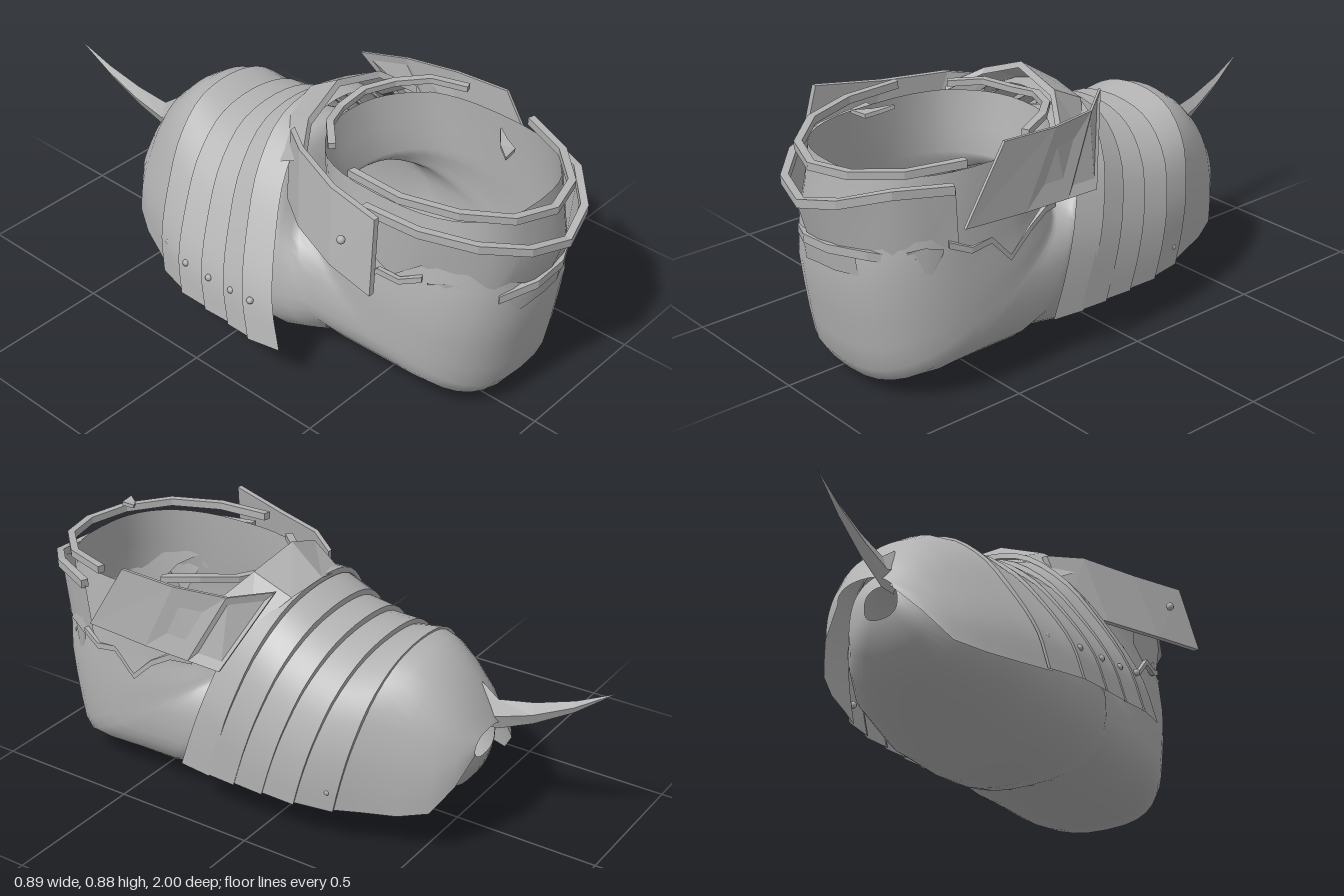
import * as THREE from 'three';

const steel = new THREE.MeshStandardMaterial({ color: 0xb2b2b2, side: THREE.DoubleSide });
steel.name = 'grey steel';

// Skin between rows of [x, y, z] points
function loft(rows, { closed = false, flat = false, cap = false } = {}) {
  const n = rows[0].length, idx = [], m = closed ? n : n - 1;
  for (let i = 0; i < rows.length - 1; i++) {
    for (let j = 0; j < m; j++) {
      const a = i * n + j, b = i * n + (j + 1) % n;
      idx.push(a, a + n, b, b, a + n, b + n);
    }
  }
  if (cap) {
    for (const s of [0, (rows.length - 1) * n]) {
      for (let j = 1; j < n - 1; j++) s ? idx.push(s, s + j + 1, s + j) : idx.push(s, s + j, s + j + 1);
    }
  }
  let g = new THREE.BufferGeometry();
  g.setAttribute('position', new THREE.Float32BufferAttribute(rows.flat(2), 3));
  g.setIndex(idx);
  if (flat) g = g.toNonIndexed();
  g.computeVertexNormals();
  return g;
}

// Point around the ankle; angle 0 is the heel
const around = (a, rx, rz, y) => [Math.min(0.44, 0.1 + rx * Math.sin(a)), y, 0.5 + rz * Math.cos(a)];

// Flat-sided strap following the ankle, heights listed evenly along the arc
function strap(a0, a1, rx, rz, heights, tall = 0.025, thick = 0.025) {
  const rows = heights.map((y, i) => {
    const a = a0 + (a1 - a0) * i / (heights.length - 1);
    return [
      around(a, rx, rz, y + tall / 2), around(a, rx - thick, rz - thick, y + tall / 2),
      around(a, rx - thick, rz - thick, y - tall / 2), around(a, rx, rz, y - tall / 2),
    ];
  });
  return loft(rows, { closed: true, flat: true, cap: true });
}

// Thin wall around the ankle between two lists of heights
function skirt(a0, a1, top, bottom, rTop, rBottom) {
  const n = top.length - 1;
  const row = (ys, r) => ys.map((y, i) => around(a0 + (a1 - a0) * i / n, r[0], r[1], y));
  return loft([row(top, rTop), row(bottom, rBottom)]);
}

// Arch profile of the foot plates: x and relative height
const arch = new THREE.CatmullRomCurve3([
  [-0.435, 0], [-0.41, 0.24], [-0.33, 0.52], [-0.22, 0.79], [-0.08, 0.96], [0.08, 1],
  [0.23, 0.95], [0.35, 0.78], [0.42, 0.48], [0.44, 0.22], [0.44, 0],
].map(([x, v]) => new THREE.Vector3(x, v, 0))).getPoints(32);

const archRow = (z, w, top, bottom, slant) => arch.map(p => [
  Math.min(0.44, p.x * w + 0.07 * (1 - w)), bottom + (top - bottom) * p.y, z + slant * (1 - p.y),
]);

export function createModel() {
  const model = new THREE.Group();
  const add = (name, geometry) => {
    const mesh = new THREE.Mesh(geometry, steel);
    mesh.name = name;
    model.add(mesh);
    return mesh;
  };

  // Hollow boot: rings that fan from the opening, round the heel, to the toe
  // instep z, y; heel or sole z, y; x range
  const rings = [
    [0.13, 0.74, 0.875, 0.74, -0.2, 0.4], [0.15, 0.62, 0.89, 0.62, -0.21, 0.41],
    [0.17, 0.53, 0.91, 0.5, -0.225, 0.415], [0.16, 0.51, 0.915, 0.38, -0.235, 0.42],
    [0.15, 0.5, 0.9, 0.27, -0.24, 0.425], [0.145, 0.5, 0.885, 0.17, -0.24, 0.425],
    [0.14, 0.5, 0.87, 0.09, -0.24, 0.425], [0.135, 0.5, 0.84, 0.045, -0.24, 0.425],
    [0.13, 0.5, 0.76, 0.035, -0.24, 0.425], [0.125, 0.51, 0.6, 0.035, -0.245, 0.42],
    [0.12, 0.52, 0.43, 0.035, -0.25, 0.42], [0.11, 0.54, 0.34, 0.055, -0.265, 0.415],
    [0.1, 0.58, 0.27, 0.03, -0.295, 0.41], [0.08, 0.63, 0.18, 0.008, -0.325, 0.41],
    [0.05, 0.68, 0.07, 0, -0.335, 0.415], [-0.1, 0.64, -0.1, 0.02, -0.33, 0.42],
    [-0.3, 0.6, -0.3, 0.09, -0.29, 0.39], [-0.45, 0.56, -0.45, 0.13, -0.22, 0.29],
    [-0.56, 0.47, -0.56, 0.19, -0.14, 0.19], [-0.6, 0.4, -0.6, 0.29, -0.05, 0.09],
  ];
  add('boot', loft(rings.map(([zt, yt, zb, yb, x0, x1]) => {
    const ring = [];
    for (let i = 0; i < 40; i++) {
      const a = i / 40 * Math.PI * 2, c = Math.cos(a), s = Math.sin(a);
      const u = Math.sign(c) * Math.abs(c) ** 0.78, v = (1 + Math.sign(s) * Math.abs(s) ** 0.78) / 2;
      const y = yb + (yt - yb) * v, z = zb + (zt - zb) * v;
      const narrow = 1 - 0.5 * Math.max(0, y - 0.12) * THREE.MathUtils.clamp((0.25 - z) / 0.25, 0, 1);
      ring.push([0.06 + ((x0 + x1) / 2 + (x1 - x0) / 2 * u - 0.06) * narrow, y, z]);
    }
    return ring;
  }), { closed: true }));

  // Overlapping foot plates, stepped at each joint: z, width, top
  const joints = [
    [-0.39, 0.86, 0.645], [-0.28, 0.95, 0.635], [-0.18, 0.97, 0.655],
    [-0.09, 0.98, 0.69], [-0.01, 1, 0.75], [0.08, 0.97, 0.77],
  ];
  for (let i = 0; i < 5; i++) {
    const [za, wa, ta] = joints[i], [zb, wb, tb] = joints[i + 1];
    const slant = 0.12 + i * 0.018;
    const toeEdge = archRow(za, wa + 0.02, ta + 0.02, 0.15, slant);
    const inner = archRow(za, wa, ta, 0.155, slant);
    const heelEdge = archRow(zb + 0.01, wb + 0.01, tb, 0.155, slant + 0.018);
    add('footPlate' + (i + 1), loft([toeEdge, heelEdge]));
    add('footPlateEdge' + (i + 1), loft([inner, toeEdge]));
    // Rivets near the lower end of each plate
    for (const j of i ? [3] : [3, 30]) {
      const [x, y, z] = toeEdge[j];
      add('rivet', new THREE.SphereGeometry(0.012, 8, 6)).position.set(Math.min(x, 0.43), y, z + 0.035);
    }
  }

  // Toe cap
  add('toeCap', loft([
    archRow(-0.64, 0.24, 0.42, 0.36, 0), archRow(-0.61, 0.42, 0.47, 0.27, 0),
    archRow(-0.56, 0.56, 0.55, 0.18, 0.01), archRow(-0.5, 0.67, 0.61, 0.16, 0.04),
    archRow(-0.44, 0.77, 0.65, 0.155, 0.09), archRow(-0.38, 0.87, 0.66, 0.15, 0.13),
  ]));

  // Flat curved spike on the toe
  const spike = [
    [-0.57, 0.0, 0.03, 0.38, 0.53], [-0.63, 0, 0.022, 0.38, 0.485], [-0.75, -0.012, 0.018, 0.43, 0.505],
    [-0.88, -0.026, 0.01, 0.505, 0.545], [-1, -0.04, 0.001, 0.597, 0.599],
  ];
  add('toeSpike', loft(spike.map(([z, x, w, y0, y1]) =>
    [[x - w, (y0 + y1) / 2, z], [x, y0, z], [x + w, (y0 + y1) / 2, z], [x, y1, z]]),
  { closed: true, flat: true, cap: true }));

  // Raised instep plate in front of the opening, with a thick lip
  const lip = [[-0.21, 0.73, 0.2], [-0.1, 0.8, 0.13], [0.06, 0.86, 0.11], [0.24, 0.82, 0.13], [0.35, 0.74, 0.2]];
  const base = [[-0.19, 0.66, 0.08], [-0.06, 0.74, 0], [0.08, 0.775, -0.02], [0.22, 0.755, 0], [0.32, 0.67, 0.08]];
  add('instepPlate', loft([base, lip], { flat: true }));
  add('instepLip', loft([lip, lip.map(([x, y, z]) => [x * 0.97, y - 0.02, z + 0.01])], { flat: true }));

  // Flared heel cuff with a torn lower edge
  const cuffTop = [0.7, 0.7, 0.69, 0.68, 0.67, 0.66, 0.65, 0.64, 0.66, 0.69, 0.71, 0.7, 0.7];
  const cuffBottom = [0.56, 0.5, 0.57, 0.52, 0.43, 0.52, 0.49, 0.5, 0.49, 0.5, 0.41, 0.54, 0.5];
  add('heelCuff', skirt(-1.6, 1.2, cuffTop, cuffBottom, [0.35, 0.475], [0.34, 0.43]));

  // Straps round the opening
  add('cuffStrap', strap(-1.6, 1.2, 0.36, 0.5, [0.71, 0.7, 0.685, 0.665, 0.645, 0.675, 0.71, 0.705], 0.028));
  add('rimStrap', strap(-1.8, 1.3, 0.33, 0.45, [0.78, 0.775, 0.77, 0.755, 0.745, 0.75, 0.755, 0.765], 0.025));
  add('innerRimStrap', strap(1.9, 4, 0.32, 0.385, [0.79, 0.8, 0.79, 0.785, 0.77, 0.78, 0.77], 0.02));
  add('heelStrap', strap(-0.55, 0.9, 0.345, 0.45, [0.47, 0.495, 0.505, 0.505, 0.48], 0.028));
  add('heelFlap', skirt(-0.5, 0.42, [0.48, 0.49, 0.5, 0.5, 0.5], [0.38, 0.41, 0.43, 0.43, 0.43], [0.345, 0.44], [0.345, 0.43]));

  // Zigzag straps and torn scraps at the sides
  const zigzag = [0.53, 0.5, 0.51, 0.43, 0.5, 0.54, 0.53];
  add('leftZigzag', strap(1.1, 2.15, 0.36, 0.43, zigzag, 0.02, 0.015));
  add('rightZigzag', strap(-2.15, -1.1, 0.36, 0.43, [...zigzag].reverse(), 0.02, 0.015));
  for (const s of [-1, 1]) {
    add('tornFlap', skirt(s * 0.95 - 0.13, s * 0.95 + 0.13, [0.52, 0.53, 0.52], [0.5, 0.4, 0.5], [0.355, 0.445], [0.345, 0.435]));
  }

  // Side guards: upper and lower edges
  const guard = (name, top, bottom, t) => {
    const rows = top.map((p, i) => [p, bottom[i], [bottom[i][0] + t, bottom[i][1], bottom[i][2]], [p[0] + t, p[1], p[2]]]);
    add(name, loft(rows, { closed: true, flat: true, cap: true }));
  };
  guard('rightGuard',
    [[-0.14, 0.76, 0.09], [-0.22, 0.775, 0.2], [-0.3, 0.77, 0.4], [-0.36, 0.79, 0.62]],
    [[-0.2, 0.55, 0.13], [-0.28, 0.54, 0.25], [-0.36, 0.54, 0.45], [-0.41, 0.555, 0.65]], 0.02);
  guard('leftGuard',
    [[0.3, 0.81, 0], [0.39, 0.795, 0.12], [0.428, 0.8, 0.3], [0.432, 0.81, 0.5]],
    [[0.428, 0.55, 0.13], [0.431, 0.555, 0.25], [0.432, 0.56, 0.42], [0.432, 0.575, 0.65]], 0.01);
  add('guardRivet', new THREE.SphereGeometry(0.014, 8, 6)).position.set(-0.378, 0.675, 0.51);

  // Loose splinter above the opening
  add('splinter', loft([
    [[0.06, 0.865, 0.77], [0.12, 0.865, 0.76], [0.12, 0.852, 0.76], [0.06, 0.855, 0.77]],
    [[0.1, 0.868, 0.72], [0.135, 0.873, 0.72], [0.135, 0.86, 0.72], [0.1, 0.857, 0.72]],
    [[0.15, 0.885, 0.68], [0.157, 0.885, 0.68], [0.157, 0.874, 0.68], [0.15, 0.874, 0.68]],
  ], { closed: true, flat: true, cap: true }));
  return model;
}
